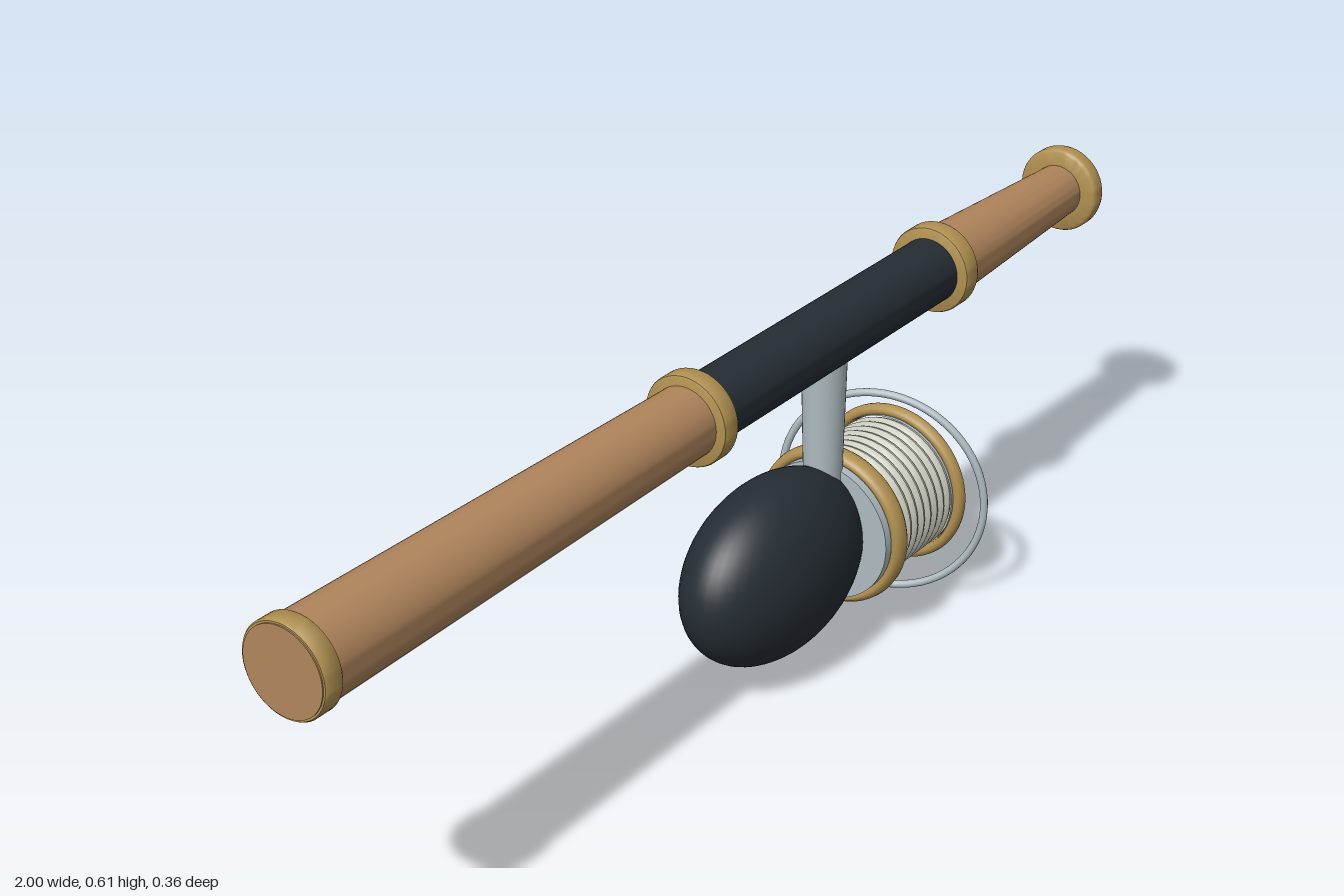
import * as THREE from 'three';
import { toCreasedNormals } from 'three/addons/utils/BufferGeometryUtils.js';

const mat = (color) => new THREE.MeshStandardMaterial({ color });
const cork = mat(0xb0855c), brass = mat(0xb09050), dark = mat(0x252d34);
const metal = mat(0xaebbc0), line = mat(0xc8cabc);
const ROD_Y = 0.535, REEL_Y = 0.186;

export function createModel() {
  const model = new THREE.Group();

  function add(name, geometry, material, x = 0, y = 0, z = 0) {
    const mesh = new THREE.Mesh(geometry, material);
    mesh.name = name;
    mesh.position.set(x, y, z);
    model.add(mesh);
    return mesh;
  }

  // Turned part along x; the profile is a list of [x, radius] pairs
  function turned(name, profile, material, y) {
    const points = profile.map(([x, r]) => new THREE.Vector2(r, x));
    const geometry = new THREE.LatheGeometry(points, 48);
    geometry.rotateZ(-Math.PI / 2);
    return add(name, toCreasedNormals(geometry, 0.6), material, 0, y);
  }

  // Solid collar with softened edges
  function collar(name, x0, x1, r, y) {
    const b = 0.005;
    turned(name, [
      [x0, 0], [x0, r - b], [x0 + b * 0.3, r - b * 0.3], [x0 + b, r],
      [x1 - b, r], [x1 - b * 0.3, r - b * 0.3], [x1, r - b], [x1, 0],
    ], brass, y);
  }

  // Rounded hoop around the x axis, widened along x
  function hoop(name, x, r, tube, width, material) {
    const geometry = new THREE.TorusGeometry(r, tube, 12, 64);
    geometry.rotateY(Math.PI / 2);
    geometry.scale(width / (2 * tube), 1, 1);
    return add(name, geometry, material, x, REEL_Y);
  }

  // Rod: grips, blank and collars
  turned('rearGrip', [[-1, 0], [-1, 0.068], [-0.13, 0.057], [-0.13, 0]], cork, ROD_Y);
  turned('buttRing', [
    [-0.998, 0.066], [-0.998, 0.071], [-0.995, 0.073], [-0.968, 0.073], [-0.965, 0.071], [-0.965, 0.066],
  ], brass, ROD_Y);
  turned('blank', [[-0.13, 0], [-0.13, 0.055], [0.58, 0.055], [0.58, 0]], dark, ROD_Y);
  turned('foreGrip', [[0.578, 0], [0.578, 0.061], [0.965, 0.045], [0.965, 0]], cork, ROD_Y);
  collar('rearCollar', -0.14, -0.105, 0.074, ROD_Y);
  collar('frontCollar', 0.535, 0.572, 0.074, ROD_Y);
  turned('tipRing', [
    [0.956, 0.04], [0.956, 0.069], [0.958, 0.072], [0.962, 0.074], [0.98, 0.074],
    [0.986, 0.072], [0.991, 0.066], [0.993, 0.058], [0.992, 0.05], [0.988, 0.04],
  ], brass, ROD_Y);
  const tip = add('tipDome', new THREE.SphereGeometry(0.047, 32, 24), cork, 0.978, ROD_Y);
  tip.scale.x = 0.47;

  // Reel stem and body
  add('reelStem', new THREE.CylinderGeometry(0.037, 0.03, 0.27, 32), metal, 0.23, 0.37);
  const body = add('reelBody', new THREE.SphereGeometry(1, 48, 32), dark, 0.09, REEL_Y);
  body.scale.set(0.206, 0.153, 0.107);

  // Spool with a disc at the back and a shallow domed face
  turned('spoolBack', [[0.235, 0], [0.235, 0.12], [0.285, 0.12], [0.285, 0]], metal, REEL_Y);
  hoop('rearSpoolRim', 0.264, 0.127, 0.011, 0.036, brass);
  hoop('frontSpoolRim', 0.445, 0.128, 0.01, 0.024, brass);

  const wraps = 8, x0 = 0.28, pitch = 0.02;
  const windings = [[x0, 0]];
  for (let i = 0; i < wraps; i++) {
    for (const [t, r] of [[0, 0.114], [0.2, 0.1175], [0.5, 0.1195], [0.8, 0.1175]]) {
      windings.push([x0 + (i + t) * pitch, r]);
    }
  }
  windings.push([0.44, 0.114], [0.44, 0]);
  turned('windings', windings, line, REEL_Y);

  const face = [[0.43, 0.122]];
  for (let i = 0; i <= 8; i++) {
    const a = (i / 8) * Math.PI / 2;
    face.push([0.442 + 0.018 * Math.sin(a), 0.122 * Math.cos(a)]);
  }
  turned('spoolFace', face, metal, REEL_Y);

  // Tilted wire bail
  const bail = add('bail', new THREE.TorusGeometry(0.177, 0.0065, 12, 72), metal, 0.41, 0.184);
  bail.rotation.y = Math.PI / 2 + 0.235;

  return model;
}
